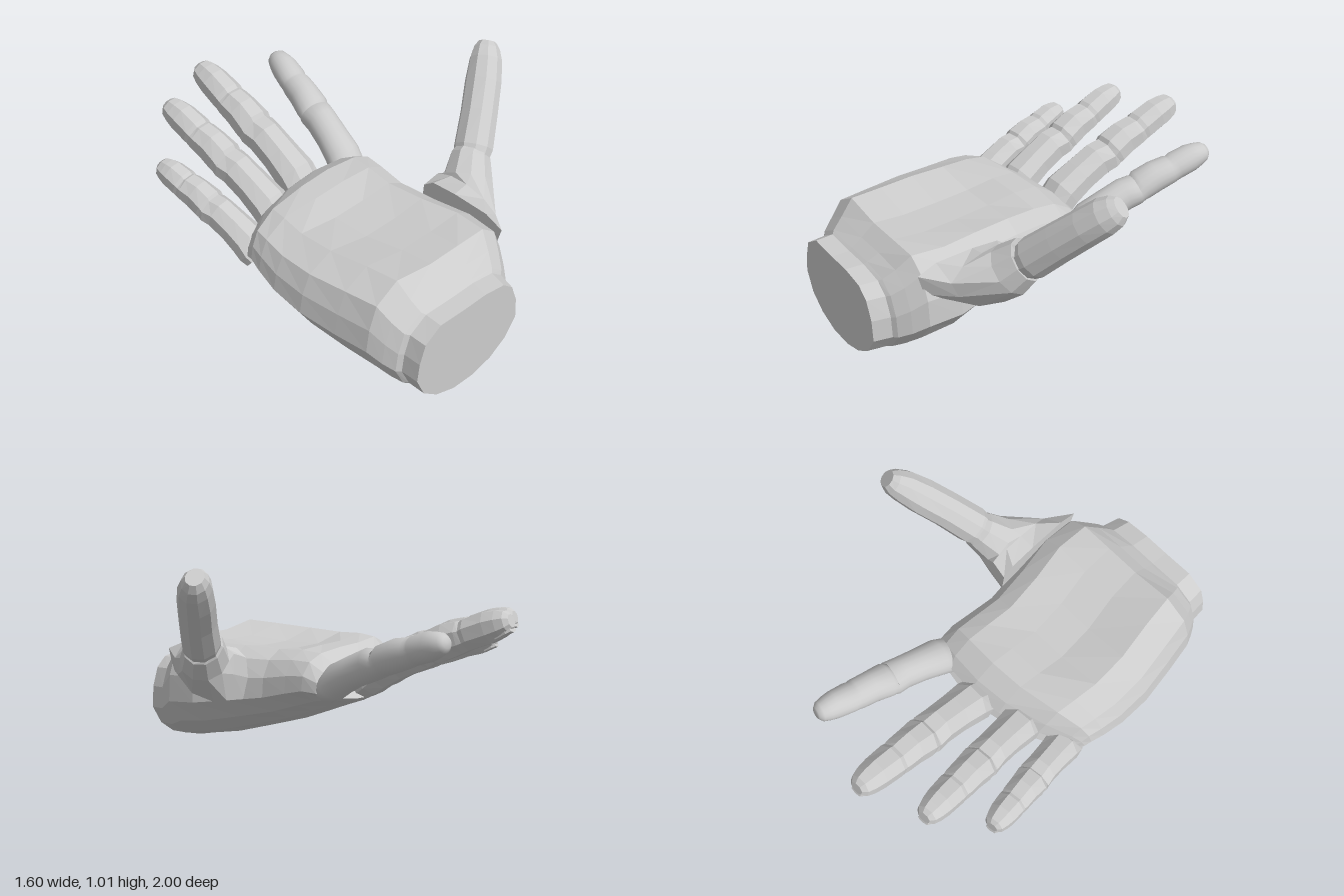
import * as THREE from 'three';

const V = (x, y, z) => new THREE.Vector3(x, y, z);

// Skin a list of rings (same point count) and close both ends
function loft(name, rings, smooth = false) {
  const n = rings[0].length, pos = [], idx = [];
  rings.forEach(r => r.forEach(p => pos.push(p.x, p.y, p.z)));
  for (let i = 0; i < rings.length - 1; i++) {
    for (let j = 0; j < n; j++) {
      const k = (j + 1) % n, a = i * n + j, b = i * n + k, c = a + n, d = b + n;
      idx.push(a, c, b, b, c, d);
    }
  }
  [0, rings.length - 1].forEach(i => {
    const mid = rings[i].reduce((s, p) => s.add(p), V(0, 0, 0)).divideScalar(n);
    const m = pos.length / 3;
    pos.push(mid.x, mid.y, mid.z);
    for (let j = 0; j < n; j++) {
      const a = i * n + j, b = i * n + (j + 1) % n;
      if (i === 0) idx.push(m, a, b); else idx.push(m, b, a);
    }
  });
  let g = new THREE.BufferGeometry();
  g.setAttribute('position', new THREE.Float32BufferAttribute(pos, 3));
  g.setIndex(idx);
  if (!smooth) g = g.toNonIndexed();
  g.computeVertexNormals();
  const mesh = new THREE.Mesh(g, new THREE.MeshStandardMaterial({ color: 0xcccccc, flatShading: !smooth }));
  mesh.name = name;
  return mesh;
}

// Oval rings along a path; each station is [centre, half width, half height]
function limbRings(stations, up, sides) {
  return stations.map(([c, w, h], i) => {
    const prev = stations[Math.max(i - 1, 0)][0], next = stations[Math.min(i + 1, stations.length - 1)][0];
    const t = next.clone().sub(prev).normalize();
    const right = t.clone().cross(up).normalize(), top = right.clone().cross(t);
    return Array.from({ length: sides }, (_, j) => {
      const a = (j + 0.5) / sides * Math.PI * 2, f = 1 / Math.cos(Math.PI / sides);
      return c.clone().addScaledVector(right, w * f * Math.cos(a)).addScaledVector(top, h * f * Math.sin(a));
    });
  });
}

// Finger with two creased joints at fractions j1 and j2
function finger({ name, base, tip, w, j1, j2, smooth }) {
  const group = new THREE.Group();
  group.name = name;
  const at = t => base.clone().lerp(tip, t).add(V(0, 0.02 * Math.sin(Math.PI * t), 0));
  // Fraction, half width, half height, drop: the pads swell on the palm side and dip at each joint
  const profile = [
    [-0.03, 0.88, 0.62, 0.45], [0.02, 1.0, 0.76, 0.32], [0.09, 0.99, 0.88, 0.06], [0.22, 0.9, 0.85, 0],
    [j1 - 0.1, 0.87, 0.88, 0], [j1 - 0.02, 0.93, 0.78, 0.12], [j1, 0.88, 0.7, 0.14], [j1 + 0.025, 0.92, 0.82, 0.03],
    [(j1 + j2) / 2, 0.84, 0.85, 0], [j2 - 0.03, 0.82, 0.76, 0.05], [j2, 0.78, 0.7, 0.07], [j2 + 0.025, 0.8, 0.74, 0.02],
    [(j2 + 1) / 2, 0.74, 0.75, 0], [0.92, 0.66, 0.65, 0], [0.97, 0.54, 0.52, 0], [0.995, 0.33, 0.3, 0],
  ];
  const stations = profile.map(([t, a, b, drop]) => [at(t).add(V(0, -w * drop, 0)), w * a, w * b]);
  group.add(loft(name + 'Body', limbRings(stations, V(0, 1, 0), smooth ? 18 : 8), smooth));
  // Nail plate on the back of the fingertip
  if (!smooth) {
    const dir = tip.clone().sub(base).normalize();
    const right = dir.clone().cross(V(0, 1, 0)).normalize(), down = dir.clone().cross(right).normalize();
    const start = at(0.86).addScaledVector(down, w * 0.6), end = at(0.985).addScaledVector(down, w * 0.4);
    const nail = [[0, 0.28], [0.2, 0.42], [0.75, 0.4], [1, 0.28]]
      .map(([t, a]) => [start.clone().lerp(end, t), w * a, 0.012]);
    group.add(loft(name + 'Nail', limbRings(nail, V(0, 1, 0), 6)));
  }
  return group;
}

// Cross-section of the palm, anticlockwise seen from the wrist
const section = [
  [1, -0.22], [0.98, 0.25], [0.87, 0.66], [0.68, 0.88], [0.3, 0.97], [-0.1, 0.97], [-0.58, 1], [-0.86, 0.75],
  [-0.96, 0.35], [-1, -0.05], [-0.86, -0.5], [-0.6, -0.8], [-0.25, -0.98], [0.15, -1], [0.5, -0.88], [0.8, -0.62],
];

// z, left x, right x, bottom y, top y, knuckle curve, hollow
function palmRing([z, x0, x1, y0, y1, curve, hollow]) {
  return section.map(([u, v]) => {
    const x = (x0 + x1) / 2 + u * (x1 - x0) / 2;
    const dip = v > 0.9 && Math.abs(u) < 0.4 ? hollow : 0;
    const y = (y0 + y1) / 2 + v * (y1 - y0) / 2 - dip;
    return V(x, y, z + curve * ((x + 0.15) / 0.6) ** 2);
  });
}

export function createModel() {
  const hand = new THREE.Group();
  hand.name = 'hand';

  // Wrist stump and palm, heel to knuckles
  hand.add(loft('palm', [
    [1, -0.635, 0.03, 0, 0.475, 0, 0],
    [0.91, -0.64, 0.055, 0.003, 0.478, 0, 0],
    [0.895, -0.665, 0.08, 0.005, 0.49, 0, 0],
    [0.84, -0.695, 0.125, 0.015, 0.54, 0, 0.01],
    [0.77, -0.725, 0.17, 0.03, 0.615, 0, 0.025],
    [0.6, -0.755, 0.19, 0.058, 0.605, 0, 0.035],
    [0.4, -0.785, 0.155, 0.11, 0.59, 0, 0.04],
    [0.2, -0.785, 0.13, 0.165, 0.58, 0.02, 0.03],
    [0.05, -0.77, 0.14, 0.22, 0.585, 0.05, 0.01],
    [-0.07, -0.755, 0.15, 0.265, 0.575, 0.1, 0],
    [-0.17, -0.745, 0.15, 0.3, 0.51, 0.17, 0],
    [-0.22, -0.73, 0.13, 0.325, 0.455, 0.2, 0],
  ].map(palmRing)));

  // Four fingers
  [
    { name: 'littleFinger', base: V(-0.66, 0.385, -0.04), tip: V(-0.745, 0.595, -0.645), w: 0.087, j1: 0.47, j2: 0.73 },
    { name: 'ringFinger', base: V(-0.45, 0.43, -0.12), tip: V(-0.52, 0.74, -0.86), w: 0.096, j1: 0.46, j2: 0.71 },
    { name: 'middleFinger', base: V(-0.205, 0.43, -0.2), tip: V(-0.21, 0.76, -0.99), w: 0.102, j1: 0.46, j2: 0.7 },
    { name: 'indexFinger', base: V(0.065, 0.43, -0.16), tip: V(0.205, 0.695, -0.875), w: 0.093, j1: 0.46, j2: 0.73, smooth: true },
  ].forEach(f => hand.add(finger(f)));

  // Thumb root: two broad [z, y] outlines on the palm's side, narrowing to the joint
  const thumbUp = V(-0.7, 0.7, 0);
  const rootA = [[0.8, 0.53], [0.7, 0.57], [0.5, 0.575], [0.36, 0.565], [0.3, 0.52],
    [0.29, 0.42], [0.31, 0.31], [0.45, 0.29], [0.62, 0.33], [0.77, 0.42]];
  const rootB = [[0.68, 0.5], [0.61, 0.56], [0.5, 0.59], [0.4, 0.585], [0.31, 0.55],
    [0.3, 0.45], [0.33, 0.32], [0.41, 0.305], [0.55, 0.335], [0.65, 0.42]];
  hand.add(loft('thumbRoot', [
    rootA.map(([z, y]) => V(0.13, y, z)),
    rootB.map(([z, y]) => V(0.21 + (0.6 - y) * 0.17, y, z)),
    ...limbRings([
      [V(0.32, 0.525, 0.415), 0.115, 0.125],
      [V(0.385, 0.6, 0.37), 0.092, 0.105],
      [V(0.41, 0.615, 0.36), 0.075, 0.08],
    ], thumbUp, 10),
  ]));

  // Long outer part of the thumb
  hand.add(loft('thumbTip', limbRings([
    [V(0.385, 0.59, 0.375), 0.082, 0.086],
    [V(0.42, 0.625, 0.355), 0.092, 0.098],
    [V(0.53, 0.742, 0.285), 0.088, 0.092],
    [V(0.63, 0.847, 0.215), 0.087, 0.088],
    [V(0.70, 0.92, 0.165), 0.077, 0.085],
    [V(0.737, 0.955, 0.135), 0.062, 0.072],
    [V(0.757, 0.978, 0.12), 0.042, 0.05],
  ], thumbUp, 10)));

  return hand;
}
